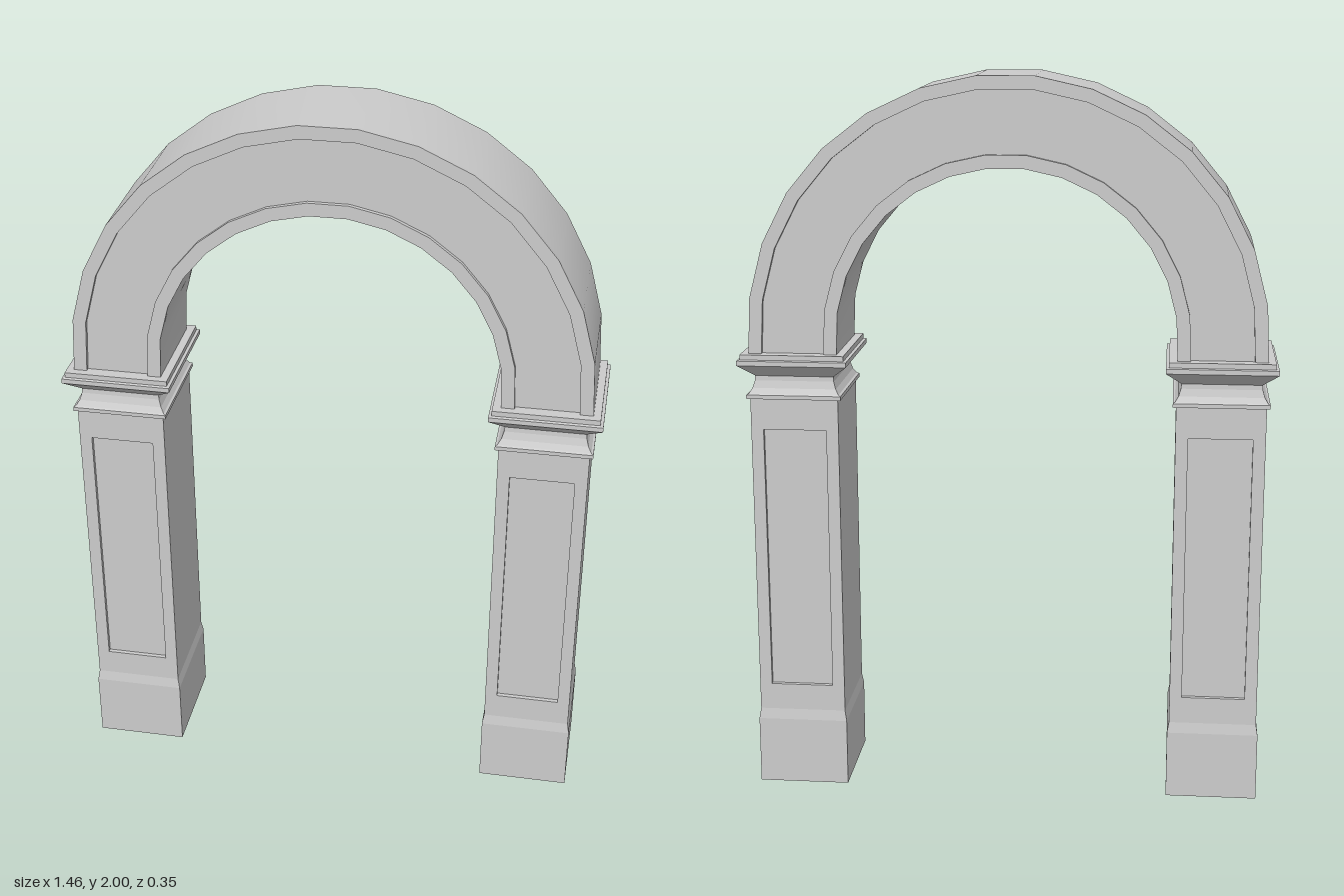
import * as THREE from 'three';
import { toCreasedNormals } from 'three/addons/utils/BufferGeometryUtils.js';

const material = new THREE.MeshStandardMaterial({ color: 0xcccccc });

const PILLAR_X = 0.58, HALF_W = 0.121, HALF_D = 0.144; // pillar centre and half sizes
const RECESS = 0.012;
const SPRING_Y = 1.25, CENTRE_Y = 1.3, ARCH_D = 0.143;

function add(parent, name, geometry, z = 0) {
  const mesh = new THREE.Mesh(geometry, material);
  mesh.name = name;
  mesh.position.z = z;
  parent.add(mesh);
  return mesh;
}

function extrude(shape, depth) {
  const geo = new THREE.ExtrudeGeometry(shape, { depth, bevelEnabled: false });
  return toCreasedNormals(geo, 0.5);
}

// Rectangular moulding: each profile entry is [outward offset from the shaft, y]
function moulding(profile) {
  const pos = [];
  const ring = ([o, y]) => {
    const w = HALF_W + o, d = HALF_D + o;
    return [[-w, y, d], [w, y, d], [w, y, -d], [-w, y, -d]];
  };
  const quad = (a, b, c, d) => pos.push(...a, ...b, ...c, ...a, ...c, ...d);
  const rings = profile.map(ring);
  for (let i = 0; i < rings.length - 1; i++) {
    const lo = rings[i], hi = rings[i + 1];
    for (let k = 0; k < 4; k++) {
      const n = (k + 1) % 4;
      quad(lo[k], lo[n], hi[n], hi[k]);
    }
  }
  const bottom = rings[0], top = rings[rings.length - 1];
  quad(bottom[3], bottom[2], bottom[1], bottom[0]);
  quad(top[0], top[1], top[2], top[3]);
  const geo = new THREE.BufferGeometry();
  geo.setAttribute('position', new THREE.Float32BufferAttribute(pos, 3));
  geo.computeVertexNormals();
  return geo;
}

function rectPoints(x, y0, y1) {
  return [[-x, y0], [x, y0], [x, y1], [-x, y1]].map(([a, b]) => new THREE.Vector2(a, b));
}

// Faceted half ring between two radii, standing on the capitals
function archBand(inner, outer) {
  const arc = (r) => {
    const pts = [];
    const segments = 15, dip = THREE.MathUtils.degToRad(4);
    for (let i = 0; i <= segments; i++) {
      const a = -dip + (Math.PI + 2 * dip) * i / segments;
      const atEnd = i === 0 || i === segments;
      pts.push(new THREE.Vector2(
        atEnd ? r * Math.sign(Math.cos(a)) : r * Math.cos(a),
        atEnd ? SPRING_Y : CENTRE_Y + r * Math.sin(a)));
    }
    return pts;
  };
  return new THREE.Shape([...arc(outer), ...arc(inner).reverse()]);
}

function makePillar(name, x) {
  const pillar = new THREE.Group();
  pillar.name = name;
  pillar.position.x = x;

  // Plinth with a slight sloped top
  add(pillar, 'plinth', moulding([[0.005, 0], [0.005, 0.19], [0, 0.22]]));

  // Shaft core, faced front and back with a frame around a sunken panel
  const bottom = 0.2, top = 1.13;
  const coreD = HALF_D - RECESS;
  const core = new THREE.BoxGeometry(HALF_W * 2, top - bottom, coreD * 2);
  core.translate(0, (top + bottom) / 2, 0);
  add(pillar, 'shaft', core);
  const frame = new THREE.Shape(rectPoints(HALF_W, bottom, top));
  frame.holes.push(new THREE.Path(rectPoints(0.087, 0.295, 1.04)));
  add(pillar, 'frontPanelFrame', extrude(frame, RECESS), coreD);
  add(pillar, 'backPanelFrame', extrude(frame, RECESS), -HALF_D);

  // Capital: collar, hollow neck, flared underside and stepped top
  add(pillar, 'capital', moulding([
    [0.009, 1.127], [0.009, 1.138], [0.003, 1.141], [-0.006, 1.155],
    [-0.012, 1.175], [-0.013, 1.188], [-0.006, 1.194], [0.029, 1.223],
    [0.029, 1.236], [0.021, 1.238], [0.021, SPRING_Y + 0.002],
  ]));
  return pillar;
}

export function createModel() {
  const model = new THREE.Group();
  model.name = 'archway';
  model.add(makePillar('leftPillar', PILLAR_X), makePillar('rightPillar', -PILLAR_X));

  // Arch body with raised rims along both edges of each face
  const arch = new THREE.Group();
  arch.name = 'arch';
  model.add(arch);
  const coreD = ARCH_D - RECESS;
  add(arch, 'archBody', extrude(archBand(0.46, 0.702), coreD * 2), -coreD);
  for (const [name, inner, outer] of [['innerRim', 0.46, 0.496], ['outerRim', 0.666, 0.702]]) {
    const band = archBand(inner, outer);
    add(arch, name + 'Front', extrude(band, RECESS), coreD);
    add(arch, name + 'Back', extrude(band, RECESS), -ARCH_D);
  }
  return model;
}
